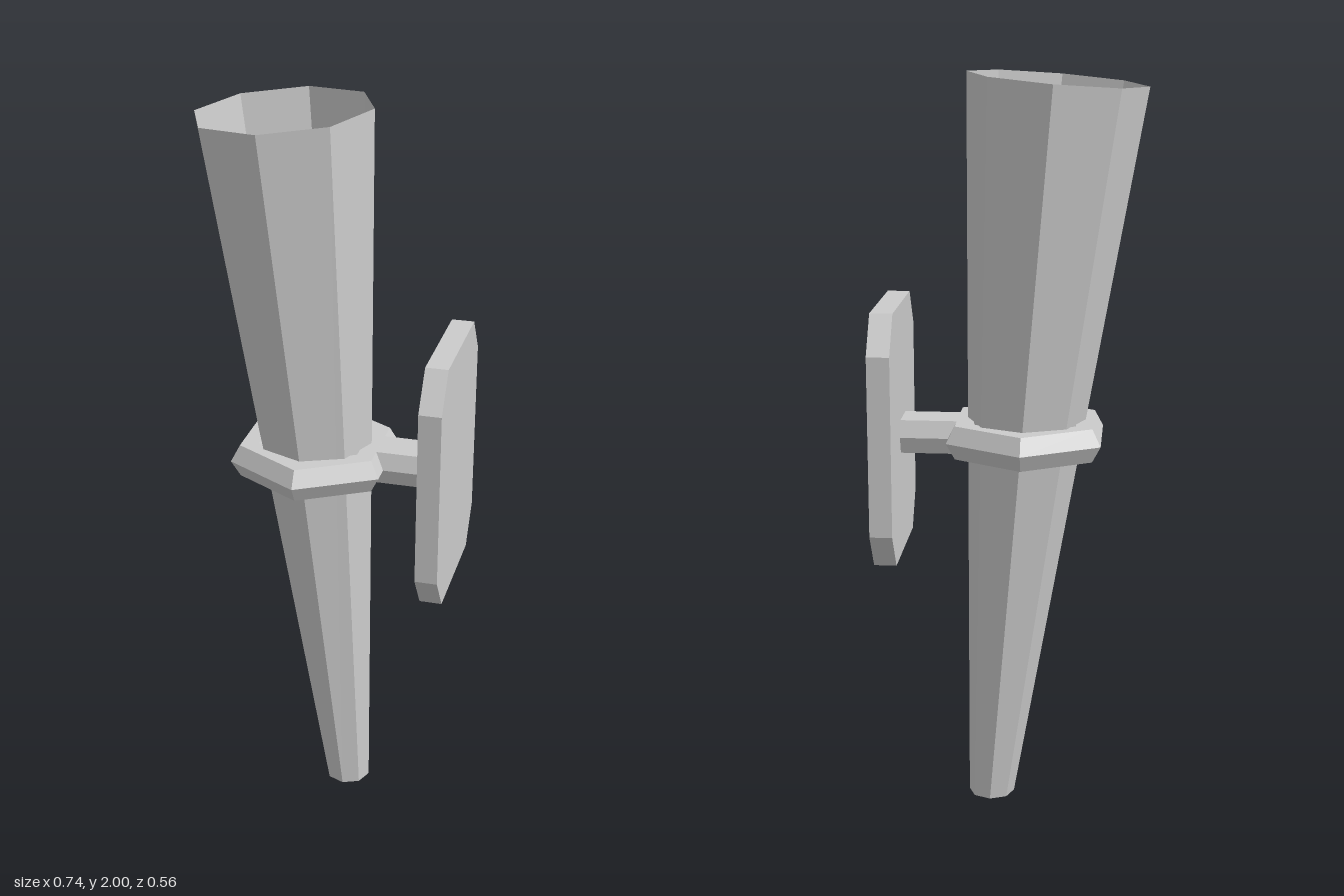
import * as THREE from 'three';

export function createModel() {
  const model = new THREE.Group();
  // the whole fitting is turned a little about the vertical
  const fitting = new THREE.Group();
  fitting.name = 'wallTorch';
  fitting.rotation.y = -0.227;
  model.add(fitting);

  const Z = -0.026; // shared centre plane
  const RING_Y = 1.045;
  const grey = (side = THREE.FrontSide) =>
    new THREE.MeshStandardMaterial({ color: 0xcccccc, flatShading: true, side });
  const add = (name, geometry, side) => {
    const mesh = new THREE.Mesh(geometry, grey(side));
    mesh.name = name;
    fitting.add(mesh);
    return mesh;
  };
  // extrude an outline drawn in (z, y) along +x
  const extrudeX = (points, depth) => {
    const shape = new THREE.Shape(points.map(([a, b]) => new THREE.Vector2(-a, b)));
    return new THREE.ExtrudeGeometry(shape, { depth, bevelEnabled: false }).rotateY(Math.PI / 2);
  };
  // rectangle with cut corners
  const cutRect = (w, h, cx, cy) => [
    [-w, h - cy], [-w, cy - h], [cx - w, -h], [w - cx, -h],
    [w, cy - h], [w, h - cy], [w - cx, h], [cx - w, h],
  ];

  // open eight-sided cone, leaning away from the wall, its rim square to the lean
  const cone = new THREE.CylinderGeometry(0.234, 0.063, 1.982, 8, 1, true);
  const p = cone.attributes.position;
  for (let i = 0; i < p.count; i++) {
    const x = p.getX(i);
    const top = p.getY(i) > 0;
    p.setXYZ(i, x + (top ? -0.153 : 0.018), top ? 1.981 + 0.08 * x : 0, p.getZ(i) + Z);
  }
  cone.computeVertexNormals();
  add('torchCone', cone, THREE.DoubleSide);

  // six-sided holding ring
  const ring = new THREE.TorusGeometry(0.183, 0.052, 6, 6);
  ring.rotateX(Math.PI / 2).rotateY(Math.PI / 2);
  add('holdingRing', ring).position.set(-0.075, RING_Y, Z);

  // short arm from ring to wall plate
  const armOutline = [[-0.065, 0], [-0.05, -0.045], [0.05, -0.045], [0.065, 0], [0.05, 0.045], [-0.05, 0.045]];
  add('bracketArm', extrudeX(armOutline, 0.216)).position.set(0.1, RING_Y, Z);

  // wall plate with cut corners
  add('wallPlate', extrudeX(cutRect(0.235, 0.34, 0.07, 0.1), 0.06)).position.set(0.257, 1.06, Z);

  return model;
}
